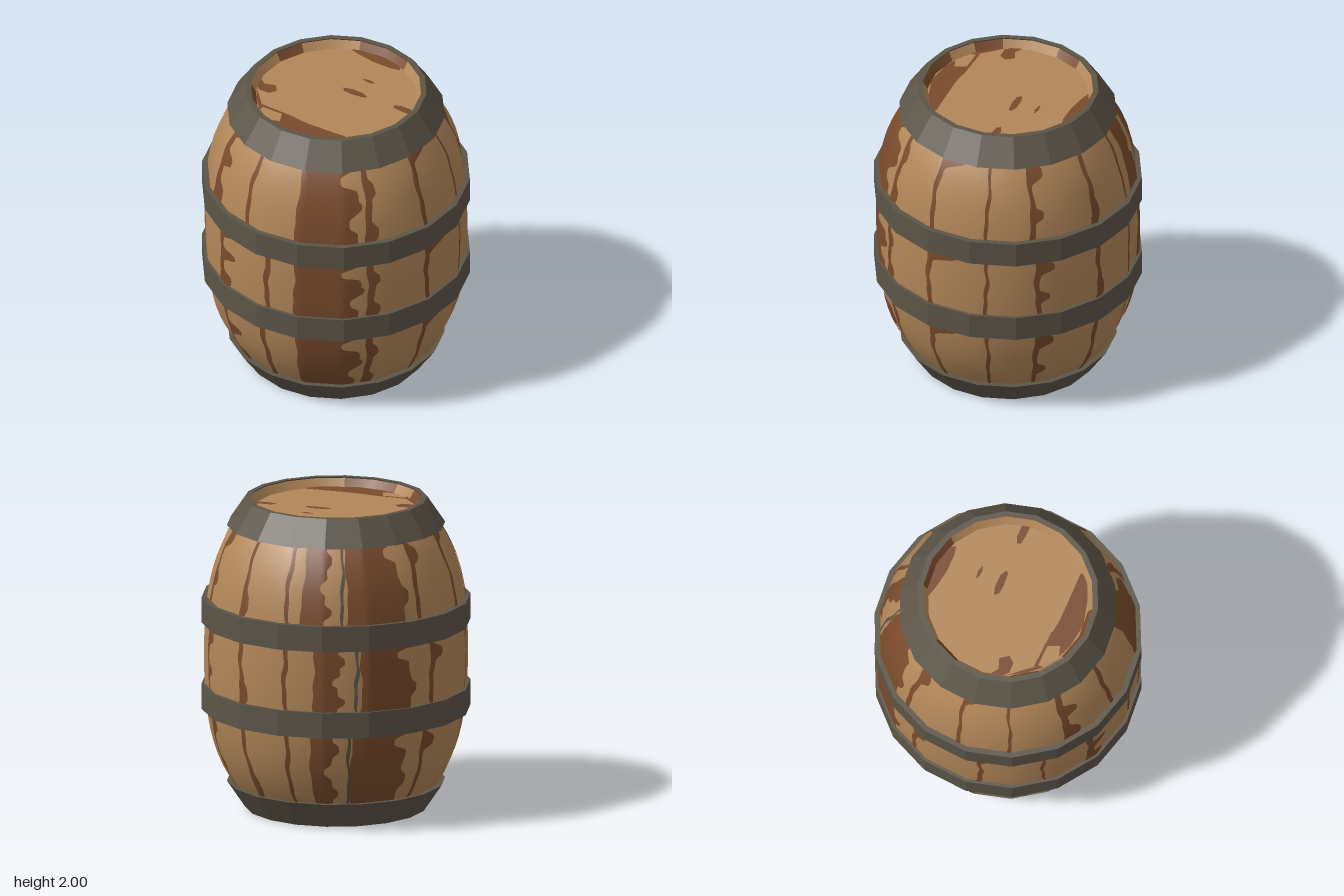
import * as THREE from 'three';

const RAD = Math.PI / 180;
const SIDES = 18;
const START = 10 * RAD; // puts a corner on the x axis

const mat = (name, color) => Object.assign(new THREE.MeshStandardMaterial({ color }), { name });

// radius of the staves at height y, and at an angle on the 18-sided outline
const bulge = (y) => {
  const t = y - 1;
  return 0.835 - 0.1175 * t * t - 0.2086 * t ** 4;
};
const facetRadius = (y, deg) => {
  const a = ((((deg - 10) % 20) + 20) % 20) - 10;
  return bulge(y) * Math.cos(10 * RAD) / Math.cos(a * RAD);
};

function lathe(points, from = 10, sweep = 360, flat = false) {
  const geo = new THREE.LatheGeometry(
    points.map(([r, y]) => new THREE.Vector2(r, y)),
    Math.round(SIDES * sweep / 360), from * RAD, sweep * RAD);
  if (!flat) return geo;
  const g = geo.toNonIndexed();
  g.computeVertexNormals();
  return g;
}

// thin painted strip that follows the staves between two angle edges
function strip(y0, y1, low, high) {
  const rows = 44;
  let widest = 0;
  for (let i = 0; i <= rows; i++) widest = Math.max(widest, high(i / rows) - low(i / rows));
  const cols = Math.max(1, Math.ceil(widest / 2));
  const pos = [], idx = [];
  for (let i = 0; i <= rows; i++) {
    const v = i / rows, y = y0 + (y1 - y0) * v;
    for (let j = 0; j <= cols; j++) {
      const deg = low(v) + (high(v) - low(v)) * j / cols;
      const r = facetRadius(y, deg) + 0.004;
      pos.push(r * Math.sin(deg * RAD), y, r * Math.cos(deg * RAD));
      if (i < rows && j < cols) {
        const a = i * (cols + 1) + j, b = a + cols + 1;
        idx.push(a, a + 1, b, b, a + 1, b + 1);
      }
    }
  }
  const geo = new THREE.BufferGeometry();
  geo.setAttribute('position', new THREE.Float32BufferAttribute(pos, 3));
  geo.setIndex(idx);
  geo.computeVertexNormals();
  return geo;
}

export function createModel() {
  const group = new THREE.Group();
  group.name = 'barrel';
  const lightWood = mat('lightWood', 0xb38759);
  const darkWood = mat('darkWood', 0x7a4b2c);
  const iron = mat('iron', 0x5c5548);
  const add = (name, geo, material) => {
    const mesh = new THREE.Mesh(geo, material);
    mesh.name = name;
    group.add(mesh);
    return mesh;
  };

  // bulging body
  const profile = [];
  for (let i = 0; i <= 24; i++) {
    const y = 0.03 + 1.94 * i / 24;
    profile.push([bulge(y), y]);
  }
  add('staves', lathe(profile), lightWood);

  // iron hoops: two straight ones and a tapered one at each end
  const hoop = (name, pts) => add(name, lathe([...pts, pts[0]], 10, 360, true), iron);
  hoop('lowerHoop', [[0.78, 0.64], [0.85, 0.64], [0.85, 0.805], [0.78, 0.805]]);
  hoop('upperHoop', [[0.78, 1.2], [0.85, 1.2], [0.85, 1.365], [0.78, 1.365]]);
  const endHoop = [[0.54, 0], [0.575, 0], [0.69, 0.17], [0.6, 0.17]];
  hoop('bottomHoop', endHoop);
  hoop('topHoop', endHoop.map(([r, y]) => [r, 2 - y]).reverse());

  // recessed lids with a sloping rim, part of it stained
  const darkRim = [-10, 10, 170, 190, 250, 310];
  const lidStains = [
    [[-0.01, -0.25], [0.04, -0.27], [0.08, -0.265], [0.05, -0.245], [0, -0.24]],
    [[-0.03, -0.09], [0.02, -0.12], [0.1, -0.14], [0.15, -0.13], [0.14, -0.11], [0.06, -0.08], [0, -0.07]],
    [[0.33, -0.19], [0.37, -0.22], [0.45, -0.24], [0.49, -0.2], [0.42, -0.18], [0.35, -0.17]],
    [[-0.31, -0.41], [-0.2, -0.48], [-0.08, -0.51], [0.05, -0.505], [0.08, -0.48], [0.02, -0.45],
      [-0.1, -0.42], [-0.22, -0.41]],
    [[-0.46, 0.22], [-0.4, 0.24], [-0.34, 0.2], [-0.29, 0.24], [-0.31, 0.29], [-0.38, 0.31], [-0.43, 0.28]],
    [[-0.4, 0.31], [-0.32, 0.36], [-0.22, 0.43], [-0.22, 0.455], [-0.32, 0.39]],
    [[-0.1, 0.37], [0.1, 0.34], [0.28, 0.29], [0.42, 0.25], [0.44, 0.27], [0.38, 0.34], [0.3, 0.4],
      [0.16, 0.48], [0, 0.5], [-0.1, 0.49], [-0.04, 0.45]],
    [[-0.25, 0.405], [0, 0.35], [0.02, 0.36], [-0.24, 0.425]],
  ];
  for (const top of [true, false]) {
    const side = top ? 'top' : 'bottom';
    const place = (pts) => (top ? pts : pts.map(([r, y]) => [r, 2 - y]).reverse());
    add(side + 'Lid', lathe(place([[0.515, 1.94], [0, 1.94]])), lightWood);
    for (let a = 10; a < 370; a += 20) {
      const dark = darkRim.some((d) => (d + 360) % 360 === a % 360);
      add(side + 'Rim', lathe(place([[0.545, 1.995], [0.51, 1.94]]), a, 20), dark ? darkWood : lightWood);
    }
    for (const pts of lidStains) {
      // keep the outline counter-clockwise for the side it faces
      const shape = new THREE.Shape(pts.map(([x, z]) => new THREE.Vector2(x, top ? -z : z)));
      const geo = new THREE.ShapeGeometry(shape);
      geo.rotateX(top ? -Math.PI / 2 : Math.PI / 2);
      geo.translate(0, top ? 1.944 : 0.056, 0);
      add(side + 'LidStain', geo, darkWood);
    }
  }

  // stains and seams, repeated in each of the three bays between the hoops
  // at: left and right angles for the bottom, middle and top bay
  // bumps: [height in bay, spread, degrees] on the right edge
  const same = (a, b) => [[a, b], [a, b], [a, b]];
  const seam = (w, b, m, t) => [b, m, t].map((c) => [c - w / 2, c + w / 2]);
  const marks = [
    { at: same(28, 57), bumps: [[0.82, 0.09, -8], [0.3, 0.1, -4], [0.5, 0.06, 2]] },
    { at: seam(3, 62, 62, 62), bumps: [[0.15, 0.12, 3], [0.7, 0.1, 3]] },
    { at: seam(2.5, 90, 90, 90), bumps: [[0.97, 0.12, 12]] },
    { at: seam(1.6, 117, 117, 117) },
    { at: seam(2.5, 140, 140, 138), bumps: [[0.85, 0.1, 6], [0.35, 0.08, 4]] },
    { at: seam(2.5, 170, 170, 169), bumps: [[0.2, 0.15, 2]] },
    { at: seam(2, -167, -167, -167) },
    { at: [[-156, -146], [-154, -143], [-160, -149]], bumps: [[0.2, 0.07, 3], [0.5, 0.07, -3], [0.8, 0.08, 3]] },
    { at: [[-137, -111], [-133, -110], [-139, -112]], bumps: [[0.85, 0.08, -6], [0.35, 0.1, 3]] },
    { at: seam(1.4, -138, -135, -141), iron: true },
    { at: seam(2.5, -100, -97, -103), bumps: [[0.8, 0.1, 5]] },
    { at: seam(2, -68, -64, -75), bumps: [[0.95, 0.1, 6]] },
    { at: seam(1.5, -43, -36, -51) },
    { at: seam(3.5, -13, -13, -24), bumps: [[0.6, 0.08, 7], [0.15, 0.14, 5], [0.95, 0.06, 5]] },
    { at: seam(2.5, 12, 15, 2) },
  ];
  const bays = [[0.14, 0.66], [0.78, 1.22], [1.34, 1.86]];
  for (const { at, bumps = [], iron: gap } of marks) {
    bays.forEach(([y0, y1], i) => {
      const [a, b] = at[i];
      const sway = (v) => 0.5 * Math.sin(7 * v + a) + 0.3 * Math.sin(17 * v + a);
      const low = (v) => a + sway(v);
      const high = (v) => b + sway(v + 0.06)
        + bumps.reduce((s, [c, h, d]) => s + d * Math.exp(-(((v - c) / h) ** 4)), 0);
      add(gap ? 'staveGap' : 'staveStain', strip(y0, y1, low, high), gap ? iron : darkWood);
    });
  }
  return group;
}
